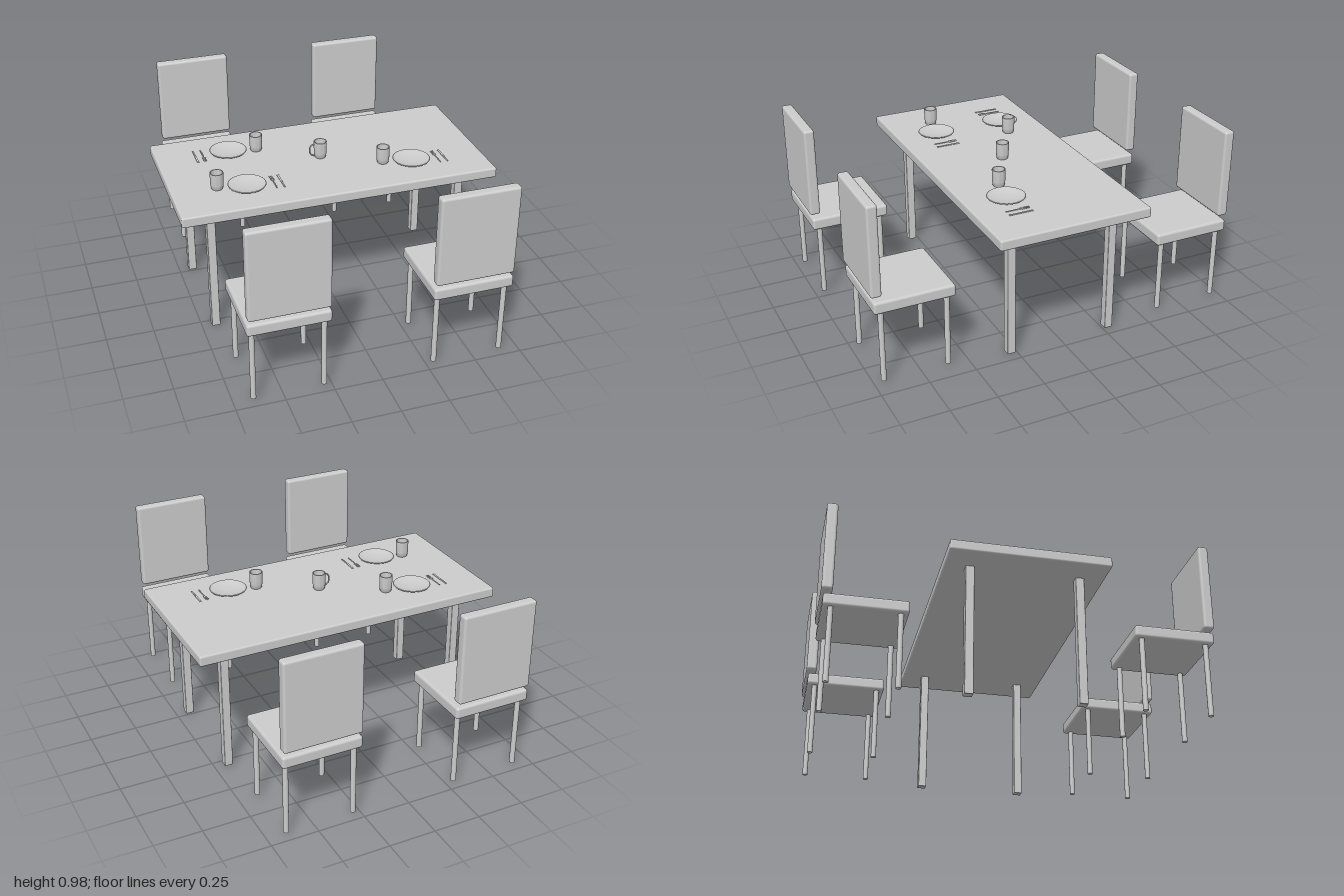
import * as THREE from 'three';
import { RoundedBoxGeometry } from 'three/addons/geometries/RoundedBoxGeometry.js';
import { toCreasedNormals } from 'three/addons/utils/BufferGeometryUtils.js';

const grey = new THREE.MeshStandardMaterial({ color: 0xcccccc });
grey.name = 'light grey';

const TOP = 0.745; // height of the table surface

function add(parent, name, geometry, x = 0, y = 0, z = 0) {
  const mesh = new THREE.Mesh(geometry, grey);
  mesh.name = name;
  mesh.position.set(x, y, z);
  parent.add(mesh);
  return mesh;
}

function group(parent, name, x = 0, y = 0, z = 0) {
  const g = new THREE.Group();
  g.name = name;
  g.position.set(x, y, z);
  parent.add(g);
  return g;
}

const box = (w, h, d, r) => new RoundedBoxGeometry(w, h, d, 3, r);

// Closed profile of [radius, height] points, turned around y
const lathe = (points) => toCreasedNormals(
  new THREE.LatheGeometry(points.map(([r, y]) => new THREE.Vector2(r, y)), 32), 0.6);

const cupShape = lathe([[0, 0], [0.027, 0], [0.031, 0.006], [0.034, 0.03], [0.035, 0.092],
  [0.030, 0.092], [0.029, 0.03], [0.026, 0.01], [0, 0.009]]);
const plateShape = lathe([[0, 0], [0.055, 0], [0.06, 0.004], [0.098, 0.013], [0.1, 0.016],
  [0.097, 0.018], [0.06, 0.009], [0.03, 0.006], [0, 0.005]]);

function buildTable(parent) {
  const table = group(parent, 'table');
  add(table, 'tableTop', box(1.685, 0.056, 0.82, 0.01), 0, 0.717, 0);
  for (const sx of [-1, 1]) for (const sz of [-1, 1]) {
    add(table, 'tableLeg', box(0.045, 0.69, 0.045, 0.004), sx * 0.676, 0.345, sz * 0.282);
  }
}

// Chair with its back toward +z
function buildChair(parent, x, side) {
  const chair = group(parent, 'chair', x, 0, side * 0.78);
  if (side < 0) chair.rotation.y = Math.PI;
  add(chair, 'seat', box(0.42, 0.065, 0.42, 0.014), 0, 0.437, 0);
  add(chair, 'backrest', box(0.41, 0.482, 0.056, 0.013), 0, 0.735, 0.192);
  for (const sx of [-1, 1]) for (const sz of [-1, 1]) {
    add(chair, 'chairLeg', new THREE.CylinderGeometry(0.014, 0.014, 0.395, 16),
      sx * 0.18, 0.2125, sz * 0.17);
  }
}

function buildFork(parent, x) {
  const fork = group(parent, 'fork', x);
  add(fork, 'forkHandle', box(0.006, 0.004, 0.085, 0.0015), 0, 0.004, 0.022);
  add(fork, 'forkNeck', box(0.018, 0.004, 0.012, 0.0015), 0, 0.004, -0.025);
  for (const t of [-1, 0, 1]) {
    add(fork, 'forkTine', box(0.003, 0.003, 0.037, 0.001), t * 0.007, 0.004, -0.046);
  }
}

function buildKnife(parent, x) {
  const knife = group(parent, 'knife', x);
  add(knife, 'knifeHandle', box(0.008, 0.005, 0.06, 0.002), 0, 0.004, 0.035);
  add(knife, 'knifeBlade', box(0.011, 0.003, 0.07, 0.001), 0, 0.004, -0.03);
}

// Plate with a cup on one side and cutlery on the other
function buildSetting(parent, x, z, dir, cupZ) {
  const setting = group(parent, 'placeSetting', x, TOP, z);
  add(setting, 'plate', plateShape);
  add(setting, 'cup', cupShape, -dir * 0.15, 0, cupZ);
  const cutlery = group(setting, 'cutlery', dir * 0.16, 0, 0.005);
  if (dir < 0) cutlery.rotation.y = Math.PI;
  buildFork(cutlery, -0.02);
  buildKnife(cutlery, 0.02);
}

function buildMug(parent) {
  const mug = group(parent, 'mug', 0, TOP, 0);
  add(mug, 'mugBody', cupShape);
  // C-shaped handle on the right
  const path = new THREE.CatmullRomCurve3([[-0.031, 0.075], [-0.045, 0.077], [-0.057, 0.062],
    [-0.059, 0.043], [-0.052, 0.022], [-0.031, 0.012]]
    .map(([x, y]) => new THREE.Vector3(x, y, 0)));
  add(mug, 'mugHandle', new THREE.TubeGeometry(path, 24, 0.004, 10));
}

export function createModel() {
  const model = new THREE.Group();
  model.name = 'diningSet';
  buildTable(model);
  for (const x of [-0.47, 0.47]) for (const side of [-1, 1]) buildChair(model, x, side);
  buildSetting(model, -0.455, -0.2, -1, 0.018);
  buildSetting(model, -0.455, 0.192, 1, -0.027);
  buildSetting(model, 0.445, 0.192, 1, -0.03);
  buildMug(model);
  return model;
}
